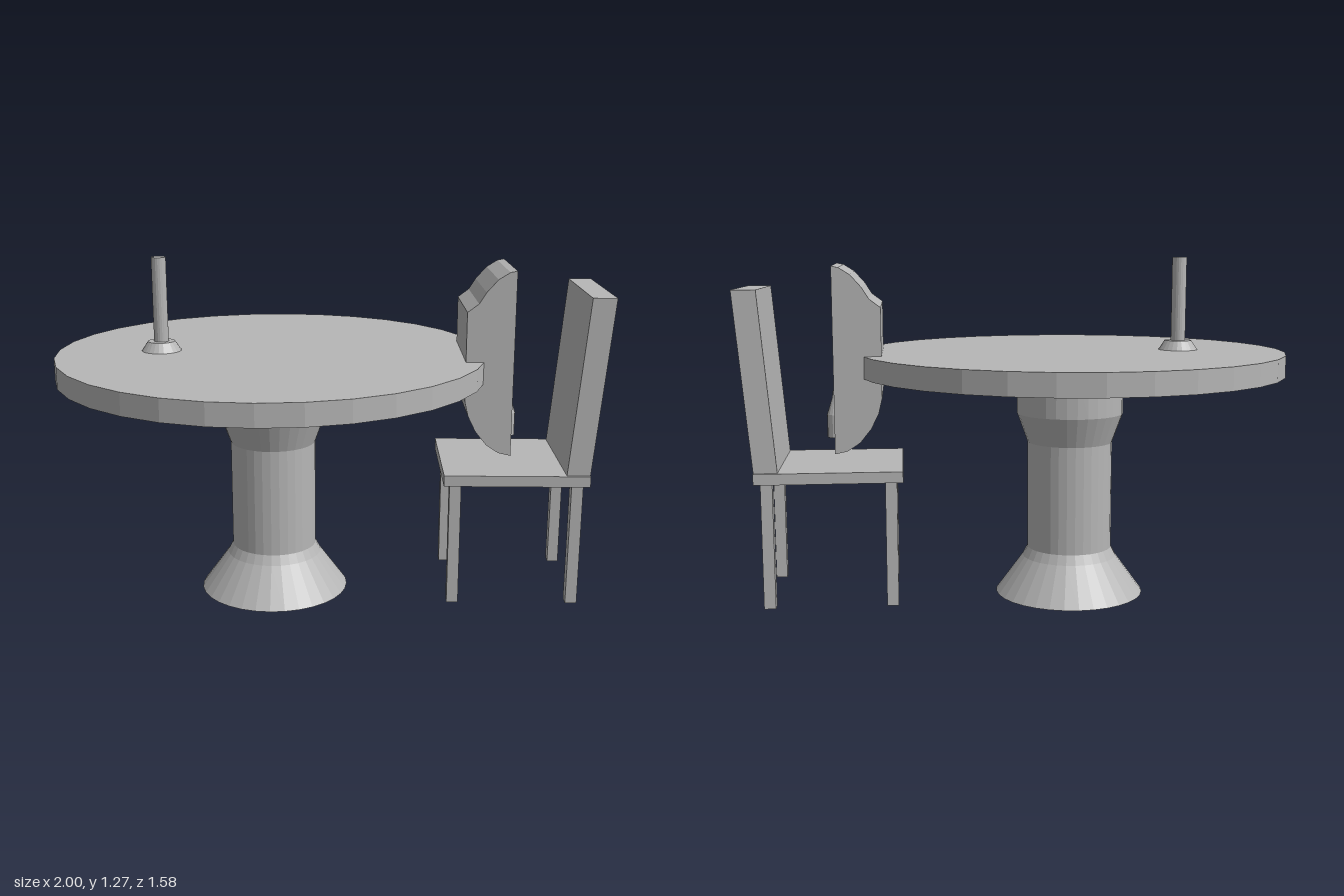
import * as THREE from 'three';

export function createModel() {
  const model = new THREE.Group();
  const grey = new THREE.MeshStandardMaterial({ color: 0xb6b6b6 });
  grey.name = 'plain grey';
  grey.flatShading = true;

  const add = (parent, name, geometry, x = 0, y = 0, z = 0) => {
    const mesh = new THREE.Mesh(geometry, grey);
    mesh.name = name;
    mesh.position.set(x, y, z);
    parent.add(mesh);
    return mesh;
  };
  // Turned part; profile runs from bottom to top as [radius, height]
  const turned = (profile, sides) =>
    new THREE.LatheGeometry(profile.map(([r, y]) => new THREE.Vector2(r, y)), sides);
  // Side profile in x and y, extruded evenly about z = 0
  const slab = (points, width) => {
    const shape = new THREE.Shape(points.map(([x, y]) => new THREE.Vector2(x, y)));
    return new THREE.ExtrudeGeometry(shape, { depth: width, bevelEnabled: false })
      .translate(0, 0, -width / 2);
  };

  // Round table with a slightly conical underside, on a flared pedestal
  const table = new THREE.Group();
  table.name = 'table';
  table.position.x = -0.21;
  model.add(table);
  add(table, 'tableTop', turned([[0, 0.825], [0.79, 0.845], [0.79, 0.925], [0, 0.925]], 32));
  add(table, 'pedestal', turned([
    [0, 0], [0.28, 0], [0.178, 0.14], [0.16, 0.175], [0.16, 0.58], [0.2, 0.69], [0.2, 0.84],
  ], 32));

  // Post whose flared foot passes through the table top
  const post = new THREE.Group();
  post.name = 'tablePost';
  post.position.x = -0.62;
  model.add(post);
  add(post, 'postFoot', turned([
    [0, 0.795], [0.147, 0.795], [0.112, 0.84], [0.073, 0.925], [0.05, 0.96], [0, 0.96],
  ], 24));
  add(post, 'postRod', new THREE.CylinderGeometry(0.027, 0.027, 0.31, 20), 0, 1.115, 0);

  // Rounded block at the table edge, tipped very slightly
  const block = add(model, 'edgeBlock', slab([
    [0.66, -0.325], [0.66, 0.34], [0.635, 0.335], [0.595, 0.31], [0.555, 0.265],
    [0.53, 0.225], [0.49, 0.195], [0.49, -0.125], [0.503, -0.18], [0.53, -0.235],
    [0.57, -0.285], [0.615, -0.315],
  ], 0.388), 0, 0.905, -0.002);
  block.rotation.x = -0.015;

  // Small bottle-shaped fitting on the back of the block
  add(model, 'blockFitting', turned([
    [0, 0.61], [0.035, 0.61], [0.035, 0.695], [0.016, 0.755], [0.012, 0.785], [0, 0.785],
  ], 16), 0.663, 0, 0);

  // Chair facing the table
  const chair = new THREE.Group();
  chair.name = 'chair';
  model.add(chair);
  add(chair, 'seat', new THREE.BoxGeometry(0.525, 0.04, 0.49), 0.6825, 0.5, -0.001);
  add(chair, 'chairBack', slab([
    [0.86, 0.515], [0.944, 0.515], [1, 1.162], [0.915, 1.162],
  ], 0.47));
  for (const x of [0.463, 0.902]) {
    for (const z of [-0.204, 0.206]) {
      add(chair, 'chairLeg', new THREE.BoxGeometry(0.042, 0.46, 0.042), x, 0.253, z);
    }
  }

  return model;
}
